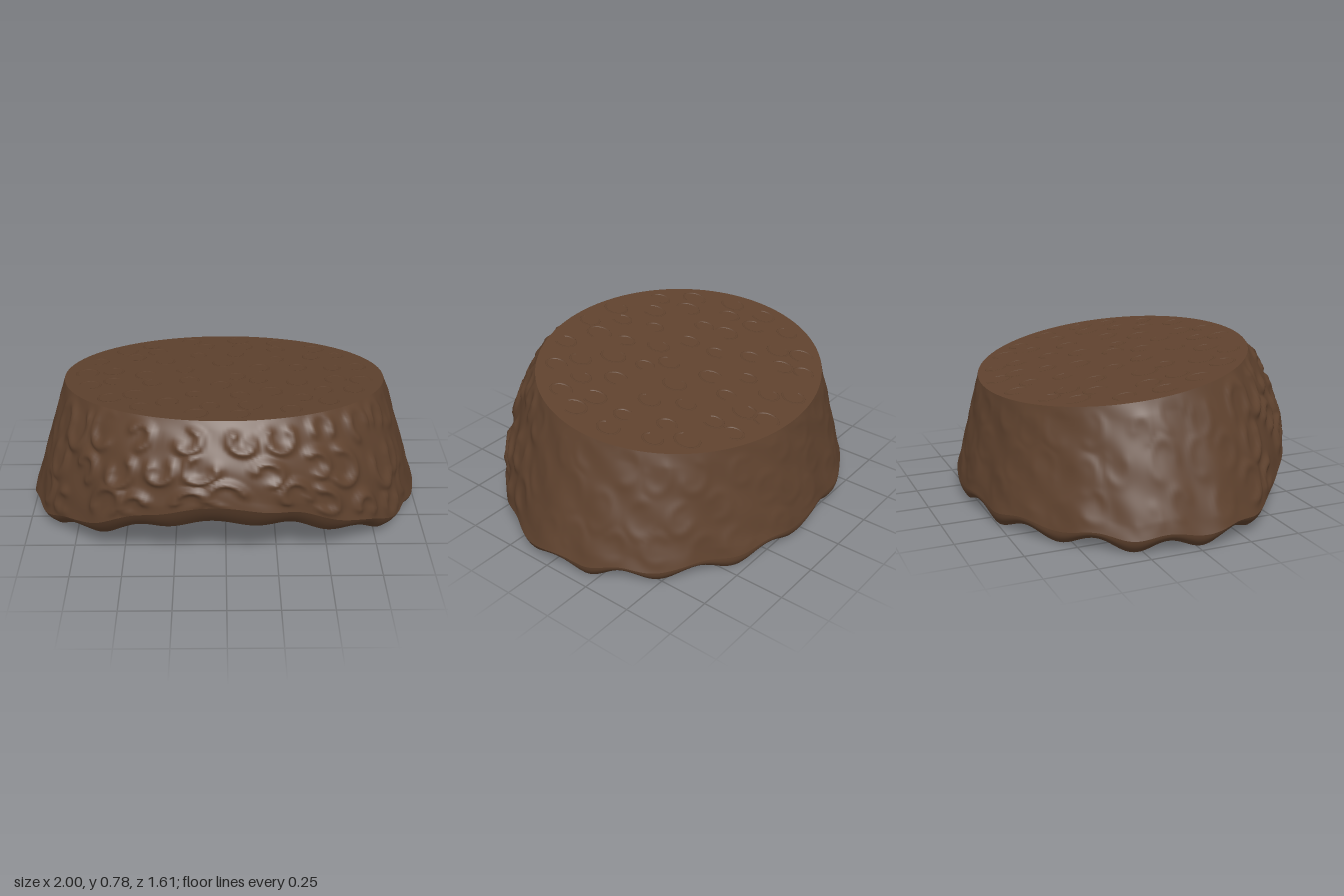
import * as THREE from 'three';

const SEG = 300;
// thin open shell, seen from both sides
const hair = new THREE.MeshStandardMaterial({ color: 0x5f422e, side: THREE.DoubleSide });
hair.name = 'dark brown hair';

// small seeded generator
let seed = 11;
const rnd = () => (seed = (seed * 16807) % 2147483647) / 2147483647;

const mix = THREE.MathUtils.lerp;
const smooth = THREE.MathUtils.smoothstep;
const crownY = (z) => 0.696 + 0.155 * z;
const frontness = (t) => Math.max(0, Math.sin(t));

// curls spread round the wall: angle, height along the wall, radius, opening
const curls = [];
for (let row = 0; row < 3; row++) {
  for (let i = 0; i < 26; i++) {
    curls.push({
      t: ((i + 0.5 * (row % 2) + 0.5 * rnd()) / 26) * Math.PI * 2,
      v: (row + 0.3 + 0.4 * rnd()) / 3,
      r: 0.05 + 0.025 * rnd(),
      open: rnd() * Math.PI * 2,
    });
  }
}

// raised C-shaped ridges, 0 to 1
function curlHeight(t, v) {
  let h = 0;
  for (const c of curls) {
    let dt = t - c.t;
    dt -= Math.round(dt / (2 * Math.PI)) * 2 * Math.PI;
    const du = dt * 0.88, dw = (v - c.v) * 0.46;
    if (Math.abs(du) > 0.14 || Math.abs(dw) > 0.14) continue;
    const d = (Math.hypot(du, dw) - c.r) / 0.022;
    const gap = smooth(Math.cos(Math.atan2(dw, du) - c.open), -1, -0.4);
    h = Math.max(h, Math.exp(-d * d) * gap);
  }
  return h;
}

// uneven outline and scallops of the lower edge
const wobble = (t) => 0.006 * Math.sin(9 * t + 1) + 0.004 * Math.sin(15 * t) + 0.003 * Math.sin(23 * t + 2);
const scallop = (t) => Math.sin(15 * t + 2.09) * (1 - 0.5 * frontness(t) ** 2);

const ring = (t, rx, rz, cz, y) => [rx * Math.cos(t), y, cz + rz * Math.sin(t)];

// guide loops of the shell, from the crown down
function crownEdge(t) {
  const p = ring(t, 0.805, 0.66, -0.025, 0);
  p[1] = crownY(p[2]);
  return p;
}
function bend(t) {
  const s = frontness(t), w = wobble(t);
  const y = 0.09 + 0.255 * s ** 3 + 0.085 * s ** 4 + 0.012 * scallop(t);
  return ring(t, 0.994 + w, 0.802 + w, 0, y);
}
function hem(t) {
  const s = frontness(t), w = wobble(t) * 0.6;
  const k = 0.96 - 0.06 * s * s + 0.012 * Math.max(0, -Math.sin(t));
  const y = 0.038 + 0.265 * s ** 3 + 0.024 * scallop(t) + 0.004 * Math.sin(7 * t);
  return ring(t, 0.994 * k + w, 0.802 * k + w, 0, y);
}
const between = (a, b, k) => a.map((n, i) => mix(n, b[i], k));

function pushOut(p, t, d) {
  p[0] += d * Math.cos(t);
  p[2] += d * Math.sin(t);
  return p;
}

// flat sloping top
const crown = (t, v) => between([0, crownY(-0.025), -0.025], crownEdge(t), v);

// sides, from the crown edge down to the bend
function wall(t, v) {
  const s = frontness(t), fade = Math.sin(Math.PI * v);
  const p = between(crownEdge(t), bend(t), v);
  const ripple = 0.004 * Math.sin(13 * t + 9 * v) * Math.sin(7 * v + 4 * t);
  const relief = (0.003 + 0.018 * smooth(Math.sin(t), 0.15, 0.7)) * curlHeight(t, v);
  return pushOut(p, t, 0.033 * s * fade + (relief + ripple) * Math.min(1, 3 * fade));
}

// lower edge rolling inward
function rim(t, v) {
  const p = between(bend(t), hem(t), v);
  return pushOut(p, t, 0.008 * Math.sin(Math.PI * v));
}

// closed band swept round the head; v runs from 0 to 1 over the rows
function surface(name, rows, fn) {
  const pos = [], index = [];
  for (let j = 0; j <= rows; j++) {
    for (let i = 0; i < SEG; i++) pos.push(...fn((i / SEG) * Math.PI * 2, j / rows));
  }
  for (let j = 0; j < rows; j++) {
    for (let i = 0; i < SEG; i++) {
      const a = j * SEG + i, b = j * SEG + ((i + 1) % SEG);
      index.push(a, b, a + SEG, b, b + SEG, a + SEG);
    }
  }
  const g = new THREE.BufferGeometry();
  g.setAttribute('position', new THREE.Float32BufferAttribute(pos, 3));
  g.setIndex(index);
  g.computeVertexNormals();
  const mesh = new THREE.Mesh(g, hair);
  mesh.name = name;
  return mesh;
}

// faint curls barely breaking the flat crown
function crownCurls() {
  const group = new THREE.Group();
  group.name = 'crownCurls';
  [[1, 0.1], [6, 0.27], [11, 0.5], [16, 0.72], [19, 0.88]].forEach(([count, k]) => {
    for (let i = 0; i < count; i++) {
      const a = ((i + 0.4 * rnd()) / count) * Math.PI * 2 + k * 5;
      const x = 0.79 * k * Math.cos(a), z = -0.025 + 0.65 * k * Math.sin(a);
      const g = new THREE.TorusGeometry(0.04 + 0.015 * rnd(), 0.007, 5, 18, 4.6);
      g.rotateZ(rnd() * 6.28).scale(1, 1.15, 0.5).rotateX(-Math.PI / 2 - Math.atan(0.155));
      const curl = new THREE.Mesh(g, hair);
      curl.name = 'crownCurl';
      curl.position.set(x, crownY(z) - 0.0015, z);
      group.add(curl);
    }
  });
  return group;
}

export function createModel() {
  const model = new THREE.Group();
  model.name = 'hairpiece';
  model.add(
    surface('crown', 3, crown),
    surface('wall', 56, wall),
    surface('rim', 8, rim),
    crownCurls(),
  );

  // stand on the ground, centred
  const box = new THREE.Box3().setFromObject(model);
  const mid = box.getCenter(new THREE.Vector3());
  model.position.set(-mid.x, -box.min.y, -mid.z);
  const root = new THREE.Group();
  root.add(model);
  return root;
}
